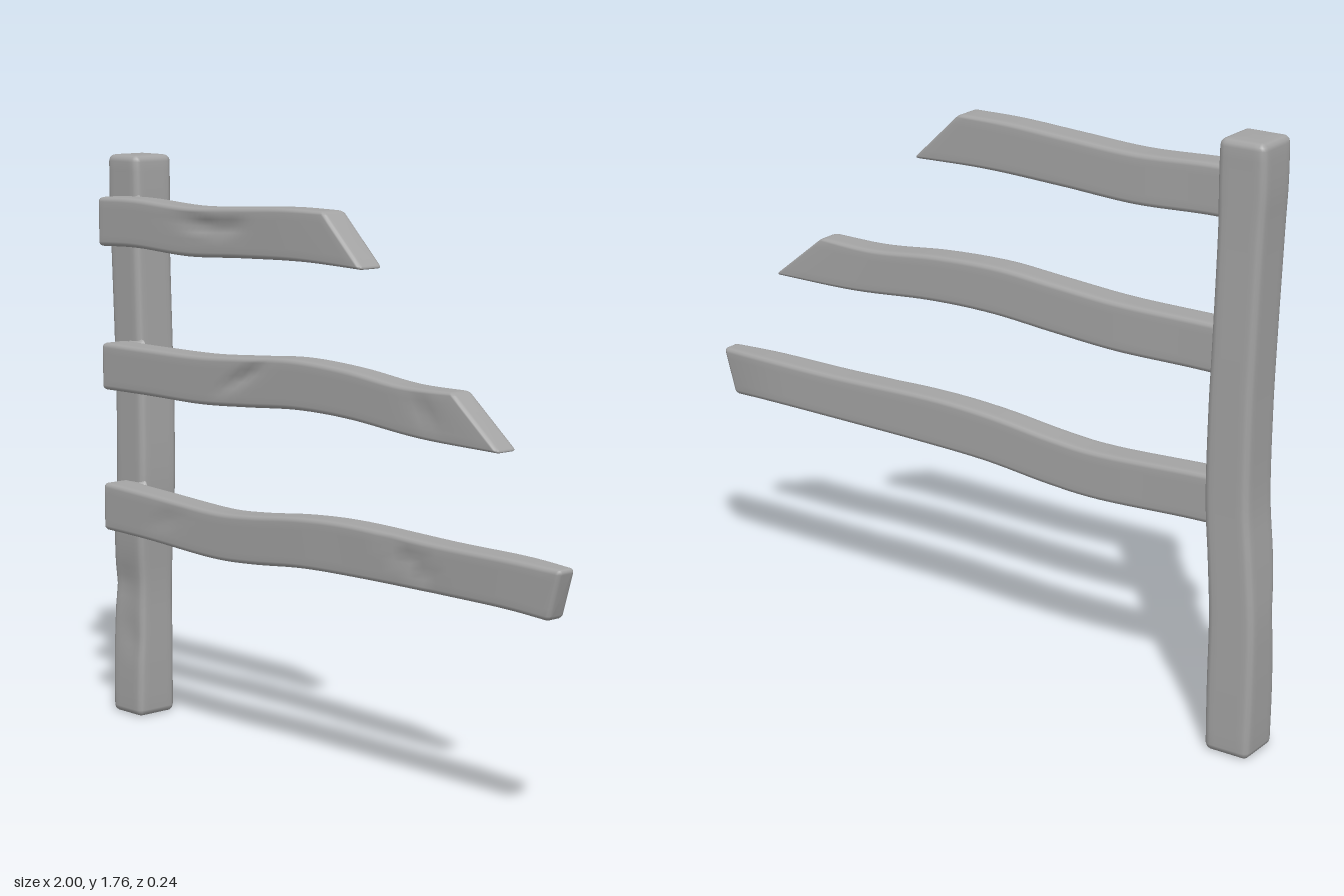
import * as THREE from 'three';

const material = new THREE.MeshStandardMaterial({ color: 0xa4a4a4 });

// Rounded-rectangle ring as [u, v] with half sizes hu, hv, corner radius r
function ring(hu, hv, r) {
  const pts = [];
  const corners = [[1, 1], [-1, 1], [-1, -1], [1, -1]];
  corners.forEach(([su, sv], k) => {
    for (let i = 0; i <= 3; i++) {
      const a = (k + i / 3) * Math.PI / 2;
      pts.push([su * (hu - r) + r * Math.cos(a), sv * (hv - r) + r * Math.sin(a)]);
    }
    // extra points along the following flat side
    const [nu, nv] = corners[(k + 1) % 4];
    const e = (k + 1) * Math.PI / 2;
    const from = pts[pts.length - 1];
    const to = [nu * (hu - r) + r * Math.cos(e), nv * (hv - r) + r * Math.sin(e)];
    for (let i = 1; i < 6; i++) {
      pts.push([from[0] + (to[0] - from[0]) * i / 6, from[1] + (to[1] - from[1]) * i / 6]);
    }
  });
  return pts;
}

// Beam lofted between two edge lines. Each station is
// [edgeA x, edgeA y, edgeB x, edgeB y, back z, front z];
// a dent is [x, y, width, height, depth, slope] pressed into the front face.
function beam(name, stations, { r, dents, steps = 48 }) {
  const V = (x, y, z) => new THREE.Vector3(x, y, z);
  const curveA = new THREE.CatmullRomCurve3(stations.map(s => V(s[0], s[1], s[4])), false, 'catmullrom', 0.5);
  const curveB = new THREE.CatmullRomCurve3(stations.map(s => V(s[2], s[3], s[5])), false, 'catmullrom', 0.5);
  const position = [], index = [];

  const section = (t, inset, shift) => {
    const a = curveA.getPoint(t), b = curveB.getPoint(t);
    const axis = curveA.getTangent(t).add(curveB.getTangent(t)).normalize();
    const z0 = a.z, z1 = b.z;
    a.z = b.z = (z0 + z1) / 2;
    const centre = a.clone().add(b).multiplyScalar(0.5).addScaledVector(axis, shift);
    const half = a.distanceTo(b) / 2;
    const u = b.sub(a).normalize();
    return { centre, u, pts: ring(half - inset, (z1 - z0) / 2 - inset, Math.max(r - inset, 0.002)) };
  };

  const sections = [];
  const bevel = [0, 30, 60, 90].map(d => d * Math.PI / 180);
  for (const a of bevel) sections.push(section(0, r * (1 - Math.sin(a)), r * (1 - Math.cos(a))));
  for (let i = 2; i < steps - 1; i++) sections.push(section(i / steps, 0, 0));
  for (const a of bevel) sections.push(section(1, r * (1 - Math.cos(a)), -r * (1 - Math.sin(a))));

  const n = sections[0].pts.length;
  for (const { centre, u, pts } of sections) {
    for (const [pu, pv] of pts) {
      const p = centre.clone().addScaledVector(u, pu);
      p.z += pv;
      if (pv > 0) {
        for (const [x, y, w, h, depth, slope] of dents) {
          const dx = (p.x - x) / w, dy = (p.y - y - slope * (p.x - x)) / h;
          p.z -= depth * Math.exp(-dx * dx - dy * dy);
        }
      }
      position.push(p.x, p.y, p.z);
    }
  }
  for (let i = 0; i < sections.length - 1; i++) {
    for (let j = 0; j < n; j++) {
      const a = i * n + j, b = i * n + (j + 1) % n;
      index.push(a, b, a + n, b, b + n, a + n);
    }
  }
  // end caps
  const last = (sections.length - 1) * n, c = sections.length * n;
  position.push(...sections[0].centre.toArray(), ...sections.at(-1).centre.toArray());
  for (let j = 0; j < n; j++) {
    const k = (j + 1) % n;
    index.push(c, k, j, c + 1, last + j, last + k);
  }

  const geometry = new THREE.BufferGeometry();
  geometry.setAttribute('position', new THREE.Float32BufferAttribute(position, 3));
  geometry.setIndex(index);
  geometry.computeVertexNormals();
  const mesh = new THREE.Mesh(geometry, material);
  mesh.name = name;
  return mesh;
}

// Smooth fillet flaring from the back of a rail onto the post
function joint(x, y) {
  const profile = [[1.12, 0.012], [1.06, 0.02], [1.0, 0.026], [0.97, 0.034], [0.95, 0.045]];
  const geometry = new THREE.LatheGeometry(profile.map(p => new THREE.Vector2(...p)), 40);
  geometry.rotateX(Math.PI / 2);
  const p = geometry.attributes.position;
  // square the round section off into a rounded rectangle
  for (let i = 0; i < p.count; i++) {
    const a = Math.atan2(p.getY(i), p.getX(i));
    const k = (Math.cos(a) ** 6 + Math.sin(a) ** 6) ** (-1 / 6);
    p.setXY(i, p.getX(i) * k * 0.038, p.getY(i) * k * 0.07);
  }
  geometry.computeVertexNormals();
  const mesh = new THREE.Mesh(geometry, material);
  mesh.position.set(x, y, 0);
  mesh.name = 'railJoint';
  return mesh;
}

export function createModel() {
  const group = new THREE.Group();
  group.name = 'brokenFence';

  // Bent upright post
  group.add(beam('post', [
    [-0.855, 0, -0.995, 0, -0.121, 0.022],
    [-0.853, 0.2, -0.998, 0.2, -0.121, 0.018],
    [-0.853, 0.4, -0.996, 0.4, -0.12, 0.01],
    [-0.843, 0.57, -0.983, 0.57, -0.119, 0.023],
    [-0.83, 0.75, -0.967, 0.75, -0.118, 0.025],
    [-0.832, 1.0, -0.967, 1.0, -0.12, 0.023],
    [-0.838, 1.2, -0.972, 1.2, -0.12, 0.023],
    [-0.845, 1.5, -0.982, 1.5, -0.119, 0.024],
    [-0.844, 1.63, -0.988, 1.63, -0.12, 0.023],
    [-0.846, 1.76, -0.987, 1.76, -0.122, 0.024],
  ], { r: 0.02, dents: [[-0.95, 0.42, 0.06, 0.04, 0.008, 0.3], [-0.9, 0.25, 0.05, 0.05, 0.006, 0]] }));

  // Top rail, snapped short with a diagonal break
  group.add(beam('topRail', [
    [-0.915, 1.488, -0.915, 1.637, 0.025, 0.12],
    [-0.74, 1.493, -0.74, 1.64, 0.027, 0.12],
    [-0.5, 1.484, -0.5, 1.63, 0.026, 0.12],
    [-0.26, 1.495, -0.28, 1.64, 0.026, 0.12],
    [0.0, 1.503, -0.08, 1.65, 0.028, 0.12],
    [0.25, 1.497, 0.09, 1.65, 0.028, 0.117],
  ], { r: 0.014, dents: [[-0.42, 1.58, 0.1, 0.014, 0.016, -0.08], [-0.3, 1.585, 0.06, 0.012, 0.01, 0.1]] }));

  // Middle rail, longer with a diagonal break
  group.add(beam('middleRail', [
    [-0.905, 1.047, -0.905, 1.192, 0.025, 0.12],
    [-0.69, 1.049, -0.69, 1.192, 0.028, 0.12],
    [-0.45, 1.049, -0.45, 1.194, 0.026, 0.12],
    [-0.24, 1.062, -0.24, 1.208, 0.026, 0.12],
    [-0.02, 1.078, -0.04, 1.222, 0.027, 0.12],
    [0.2, 1.075, 0.18, 1.215, 0.029, 0.12],
    [0.48, 1.053, 0.4, 1.193, 0.03, 0.12],
    [0.78, 1.047, 0.6, 1.193, 0.038, 0.116],
  ], { r: 0.014, dents: [[-0.25, 1.15, 0.08, 0.018, 0.013, 0.45], [0.5, 1.13, 0.05, 0.03, 0.006, -0.6]] }));

  // Bottom rail, full length with a square end
  group.add(beam('bottomRail', [
    [-0.905, 0.609, -0.905, 0.757, 0.025, 0.12],
    [-0.69, 0.604, -0.69, 0.748, 0.027, 0.12],
    [-0.4, 0.591, -0.4, 0.735, 0.026, 0.12],
    [-0.22, 0.599, -0.23, 0.744, 0.026, 0.12],
    [0.0, 0.62, -0.02, 0.767, 0.028, 0.12],
    [0.25, 0.628, 0.2, 0.777, 0.028, 0.119],
    [0.55, 0.631, 0.55, 0.77, 0.029, 0.12],
    [0.8, 0.631, 0.82, 0.77, 0.033, 0.12],
    [0.962, 0.622, 1.004, 0.765, 0.05, 0.115],
  ], { r: 0.014, dents: [[0.45, 0.71, 0.08, 0.02, 0.012, -0.6], [-0.6, 0.68, 0.06, 0.025, 0.005, 0.4]] }));

  // Fillets where the rails meet the post
  for (const [x, y] of [[-0.872, 1.563], [-0.862, 1.12], [-0.862, 0.682]]) group.add(joint(x, y));

  return group;
}
